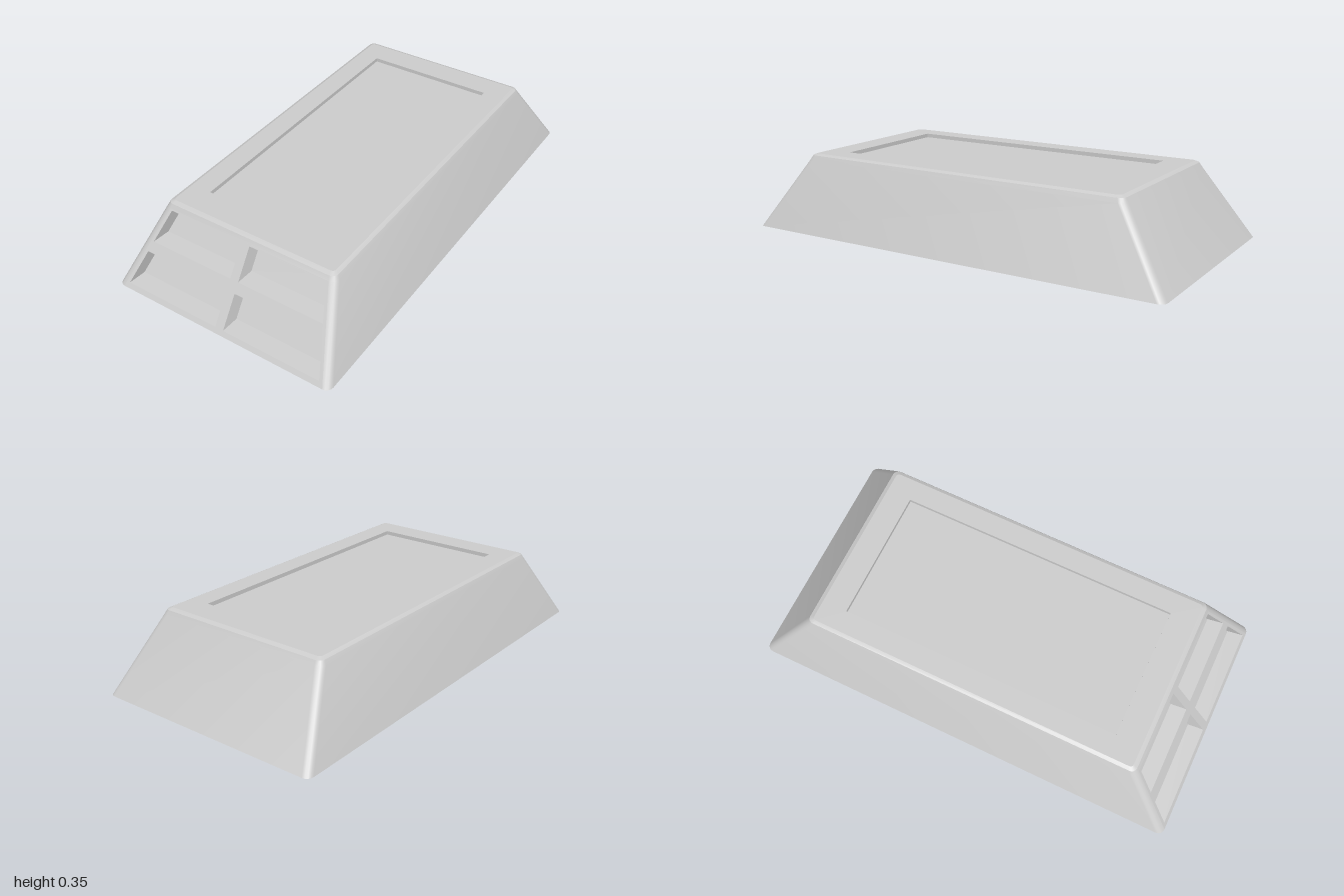
import * as THREE from 'three';
import { toCreasedNormals } from 'three/addons/utils/BufferGeometryUtils.js';

const H = 0.346;          // height of the flat top
const SHOULDER = 0.32;    // where the sloped walls meet the rounded top edge
const ARC = 4;            // segments per rounded corner
const V = (x, y, z) => new THREE.Vector3(x, y, z);

// Depth of the sloping front wall at height y
const frontZ = y => 1 - (0.215 / SHOULDER) * y;

// Rounded rectangle ring, counter-clockwise seen from above
function ring([y, hx, hz, r]) {
  const pts = [];
  [[1, -1], [-1, -1], [-1, 1], [1, 1]].forEach(([sx, sz], k) => {
    for (let i = 0; i <= ARC; i++) {
      const a = (k + i / ARC) * Math.PI / 2;
      pts.push(V(sx * (hx - r) + r * Math.cos(a), y, sz * (hz - r) - r * Math.sin(a)));
    }
  });
  return pts;
}

// Strip of quads between two closed loops of points
function strip(lower, upper, skip = -1) {
  const tris = [];
  lower.forEach((a, i) => {
    if (i === skip) return;
    const j = (i + 1) % lower.length;
    tris.push(a, lower[j], upper[j], a, upper[j], upper[i]);
  });
  return tris;
}

function createModel() {
  const group = new THREE.Group();
  const material = new THREE.MeshStandardMaterial({ color: 0xcccccc, side: THREE.DoubleSide });

  // The whole body leans very slightly to one side
  function add(name, geometry) {
    const p = geometry.attributes.position;
    for (let i = 0; i < p.count; i++) p.setY(i, p.getY(i) + 0.0094 * (p.getX(i) + 0.533));
    const mesh = new THREE.Mesh(toCreasedNormals(geometry, 0.5), material);
    mesh.name = name;
    group.add(mesh);
  }
  const fromTris = tris => new THREE.BufferGeometry().setFromPoints(tris);

  // Flat outline with holes, placed in space by a mapping rule
  function sheet(outline, holes, map) {
    const shape = new THREE.Shape(outline);
    shape.holes = holes.map(h => new THREE.Path(h));
    const g = new THREE.ShapeGeometry(shape);
    const p = g.attributes.position;
    for (let i = 0; i < p.count; i++) p.setXYZ(i, ...map(p.getX(i), p.getY(i)));
    return g;
  }
  const P = (x, y) => new THREE.Vector2(x, y);

  // Sloped walls and rounded top edge, open below; front wall left out
  const rings = [
    [0, 0.533, 1, 0.03],
    [SHOULDER, 0.42, 0.785, 0.03],
    [0.338, 0.411, 0.774, 0.025],
    [H, 0.395, 0.755, 0.015],
  ].map(ring);
  const frontEdge = 3 * (ARC + 1) - 1;
  const shell = [];
  for (let k = 0; k < 3; k++) shell.push(...strip(rings[k], rings[k + 1], k === 0 ? frontEdge : -1));
  add('shell', fromTris(shell));

  // Top face with a shallow rectangular tray
  const tray = [[-0.3, -0.64], [0.3, -0.64], [0.3, 0.64], [-0.3, 0.64]].map(c => P(...c));
  const trayDepth = 0.018;
  add('topFace', sheet(rings[3].map(v => P(v.x, -v.z)), [tray], (x, y) => [x, H, -y]));
  add('trayFloor', sheet(tray, [], (x, y) => [x, H - trayDepth, -y]));
  add('trayWalls', fromTris(strip(
    tray.map(c => V(c.x, H, -c.y)),
    tray.map(c => V(c.x, H - trayDepth, -c.y)))));

  // Four front panel outlines, slanted to follow the sides
  const inset = 0.01, panelDepth = 0.065;
  const outline = (s, y0, y1, d) => {
    const side = y => 0.487 - 0.34 * y - d * 1.2;
    const pts = [P(0.02 + d, y0 + d), P(side(y0 + d), y0 + d), P(side(y1 - d), y1 - d), P(0.02 + d, y1 - d)];
    return s > 0 ? pts : pts.map(c => P(-c.x, c.y)).reverse();
  };
  const panels = [];
  for (const s of [-1, 1])
    for (const [y0, y1] of [[0.02, 0.15], [0.19, 0.315]])
      panels.push({ outer: outline(s, y0, y1, 0), inner: outline(s, y0, y1, inset) });

  // Front wall frame
  const [bl, br] = [rings[0][frontEdge], rings[0][frontEdge + 1]];
  const [tl, tr] = [rings[1][frontEdge], rings[1][frontEdge + 1]];
  add('frontFrame', sheet([bl, br, tr, tl].map(v => P(v.x, v.y)),
    panels.map(p => p.outer), (x, y) => [x, y, frontZ(y)]));

  // Recessed panels, pushed straight back
  for (const { outer, inner } of panels) {
    add('panelWalls', fromTris(strip(
      outer.map(c => V(c.x, c.y, frontZ(c.y))),
      inner.map(c => V(c.x, c.y, frontZ(c.y) - panelDepth)))));
    add('panelFace', sheet(inner, [], (x, y) => [x, y, frontZ(y) - panelDepth]));
  }
  return group;
}

export { createModel };
